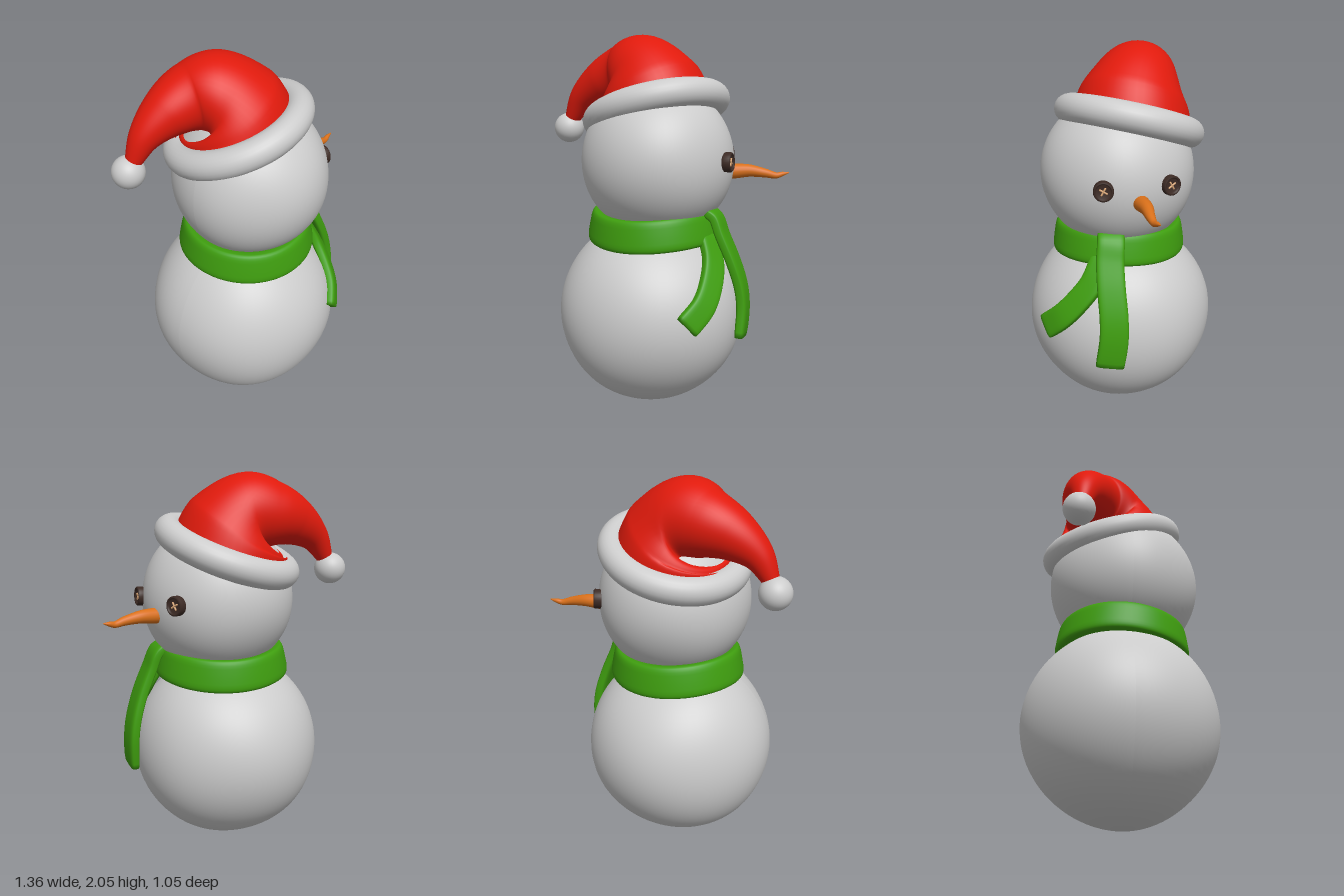
import * as THREE from 'three';

const V = (x, y, z) => new THREE.Vector3(x, y, z);
const UP = V(0, 1, 0);
const mat = (color) => new THREE.MeshStandardMaterial({ color, roughness: 0.8 });
const curveOf = (pts, closed = false) =>
  new THREE.CatmullRomCurve3(pts.map((p) => V(...p)), closed, 'centripetal');

function addMesh(parent, name, geometry, material) {
  const mesh = new THREE.Mesh(geometry, material);
  mesh.name = name;
  parent.add(mesh);
  return mesh;
}

// Skin a list of rings; open lofts get a fan cap at both ends.
function loft(rings, closed = false) {
  const n = rings[0].length, m = rings.length;
  const pos = rings.flat().flatMap((p) => [p.x, p.y, p.z]);
  const idx = [];
  for (let i = 0; i < (closed ? m : m - 1); i++) {
    const a = i * n, b = ((i + 1) % m) * n;
    for (let j = 0; j < n; j++) {
      const k = (j + 1) % n;
      idx.push(a + j, a + k, b + j, a + k, b + k, b + j);
    }
  }
  if (!closed) {
    [0, m - 1].forEach((r, end) => {
      const c = rings[r].reduce((s, p) => s.add(p), V(0, 0, 0)).divideScalar(n);
      const ci = pos.length / 3;
      pos.push(c.x, c.y, c.z);
      for (let j = 0; j < n; j++) {
        const p = r * n + j, q = r * n + ((j + 1) % n);
        if (end) idx.push(ci, p, q); else idx.push(ci, q, p);
      }
    });
  }
  const g = new THREE.BufferGeometry();
  g.setAttribute('position', new THREE.Float32BufferAttribute(pos, 3));
  g.setIndex(idx);
  g.computeVertexNormals();
  return g;
}

// One cross-section: width across, thickness along the outward hint; power < 1 squares it off.
function section(center, tangent, hint, halfW, halfT, power, sides) {
  const N = hint.clone().addScaledVector(tangent, -hint.dot(tangent)).normalize();
  const A = N.clone().cross(tangent);
  const f = (v) => Math.sign(v) * Math.pow(Math.abs(v), power);
  return Array.from({ length: sides }, (_, j) => {
    const a = (j / sides) * Math.PI * 2;
    return center.clone()
      .addScaledVector(A, f(Math.cos(a)) * halfW)
      .addScaledVector(N, f(Math.sin(a)) * halfT);
  });
}

// Soft cloth strip whose flat side faces away from a point.
function ribbon(curve, origin, width, thick, closed = false) {
  const steps = closed ? 72 : 32, rings = [];
  for (let i = 0; i < (closed ? steps : steps + 1); i++) {
    const t = i / steps, p = curve.getPoint(t);
    const edge = closed ? 1 : [0.82, 0.95][Math.min(i, steps - i)] ?? 1;
    rings.push(section(p, curve.getTangent(t), p.clone().sub(origin),
      (width / 2) * (0.9 + 0.1 * edge) * (closed ? 1 : 0.92 + 0.08 * t), (thick / 2) * edge, 0.5, 28));
  }
  return loft(rings, closed);
}

// Round tapering tube through points [x, y, z, radius].
function taper(pts, hint, sides = 36, steps = 40) {
  const curve = curveOf(pts.map((p) => p.slice(0, 3)));
  const radii = curveOf(pts.map((p, i) => [i, p[3], 0]));
  const rings = [];
  for (let i = 0; i <= steps; i++) {
    // both curves are sampled by point index, so they stay in step
    const t = i / steps, r = Math.max(radii.getPoint(t).y, 0.001);
    rings.push(section(curve.getPoint(t), curve.getTangent(t), hint, r, r, 1, sides));
  }
  return loft(rings);
}

// Slightly lumpy snowball.
function snowball(radius, phase) {
  const g = new THREE.SphereGeometry(radius, 64, 48), p = g.attributes.position, v = V(0, 0, 0);
  for (let i = 0; i < p.count; i++) {
    v.fromBufferAttribute(p, i);
    const d = v.clone().divideScalar(radius);
    const lump = Math.sin(4 * d.x + phase) * Math.sin(4 * d.y + 1) + Math.sin(5 * d.z + 2 * phase) * Math.cos(3 * d.x);
    v.multiplyScalar(1 + 0.007 * lump);
    p.setXYZ(i, v.x, v.y, v.z);
  }
  g.computeVertexNormals();
  return g;
}

// Button with a raised rim and a crossed stitch.
function buttonEye(dark, thread) {
  const eye = new THREE.Group();
  const profile = [[0, -0.03], [0.046, -0.03], [0.052, -0.022], [0.052, 0.012], [0.046, 0.018],
    [0.04, 0.015], [0.036, 0.006], [0, 0.006]].map(([r, y]) => new THREE.Vector2(r, y));
  addMesh(eye, 'button', new THREE.LatheGeometry(profile, 32), dark);
  for (const s of [-1, 1]) {
    const stitch = addMesh(eye, 'stitch', new THREE.CapsuleGeometry(0.005, 0.04, 4, 8), thread);
    stitch.rotation.set(Math.PI / 2, 0, (s * Math.PI) / 4);
    stitch.position.y = 0.009;
  }
  return eye;
}

export function createModel() {
  const model = new THREE.Group();
  model.name = 'snowman';
  const snow = mat(0xcccccc), red = mat(0xe01a0c), green = mat(0x3f9e0f);
  const orange = mat(0xd9701a), dark = mat(0x3d2b25), thread = mat(0xdba878);

  // Body and head
  addMesh(model, 'body', snowball(0.522, 0.4), snow).position.set(-0.08, 0.525, 0);
  const headCenter = V(-0.04, 1.38, 0.02);
  addMesh(model, 'head', snowball(0.417, 1.7), snow).position.copy(headCenter);

  // Button eyes
  for (const z of [0.205, -0.15]) {
    const eye = buttonEye(dark, thread);
    eye.name = 'eye';
    eye.position.set(0.35, 1.395, z);
    const out = eye.position.clone().sub(headCenter);
    eye.quaternion.setFromUnitVectors(UP, out.setZ(out.z * 0.6).normalize());
    model.add(eye);
  }

  // Carrot nose
  addMesh(model, 'nose', taper([
    [0.34, 1.32, 0.015, 0.042], [0.385, 1.322, 0.015, 0.041], [0.46, 1.325, 0.015, 0.034],
    [0.55, 1.313, 0.025, 0.024], [0.605, 1.302, 0.025, 0.017], [0.64, 1.31, 0.02, 0.012], [0.675, 1.317, 0.018, 0.002],
  ], UP, 20), orange);

  // Scarf: wavy neck band and two hanging ends
  const neck = Array.from({ length: 16 }, (_, i) => {
    const a = (i / 16) * Math.PI * 2;
    return [-0.06 + 0.325 * Math.cos(a), 1.02 + 0.012 * Math.sin(2 * a + 0.5), 0.01 + 0.325 * Math.sin(a)];
  });
  addMesh(model, 'scarfBand', ribbon(curveOf(neck, true), V(-0.06, 0.96, 0.01), 0.175, 0.075, true), green);
  addMesh(model, 'scarfFrontEnd', ribbon(curveOf([
    [0.245, 1.12, 0.14], [0.285, 1.09, 0.15], [0.32, 1.0, 0.165], [0.38, 0.86, 0.175],
    [0.425, 0.72, 0.175], [0.44, 0.6, 0.18], [0.43, 0.44, 0.2],
  ]), V(-0.3, 0.6, 0.02), 0.155, 0.058), green);
  addMesh(model, 'scarfSideEnd', ribbon(curveOf([
    [0.24, 1.0, 0.18], [0.275, 0.87, 0.25], [0.265, 0.76, 0.335], [0.23, 0.67, 0.41], [0.15, 0.58, 0.48],
  ]), V(-0.08, 0.525, 0), 0.14, 0.055), green);

  // Hat: tilted fluffy brim, drooping cone and pompom
  const hat = new THREE.Group();
  hat.name = 'hat';
  model.add(hat);
  const brim = addMesh(hat, 'brim', new THREE.TorusGeometry(0.333, 0.077, 24, 72), snow);
  brim.position.set(-0.055, 1.64, -0.05);
  brim.quaternion.setFromUnitVectors(V(0, 0, 1), V(-0.23, 1, -0.29).normalize());
  addMesh(hat, 'cone', taper([
    [-0.06, 1.64, -0.06, 0.325], [-0.095, 1.75, -0.085, 0.295], [-0.155, 1.83, -0.13, 0.23],
    [-0.25, 1.83, -0.19, 0.175], [-0.38, 1.785, -0.225, 0.13], [-0.5, 1.7, -0.25, 0.082], [-0.58, 1.57, -0.27, 0.04],
  ], V(1, 0.6, -0.1), 48, 56), red);
  addMesh(hat, 'pompom', new THREE.SphereGeometry(0.086, 32, 24), snow).position.set(-0.597, 1.525, -0.285);

  return model;
}
